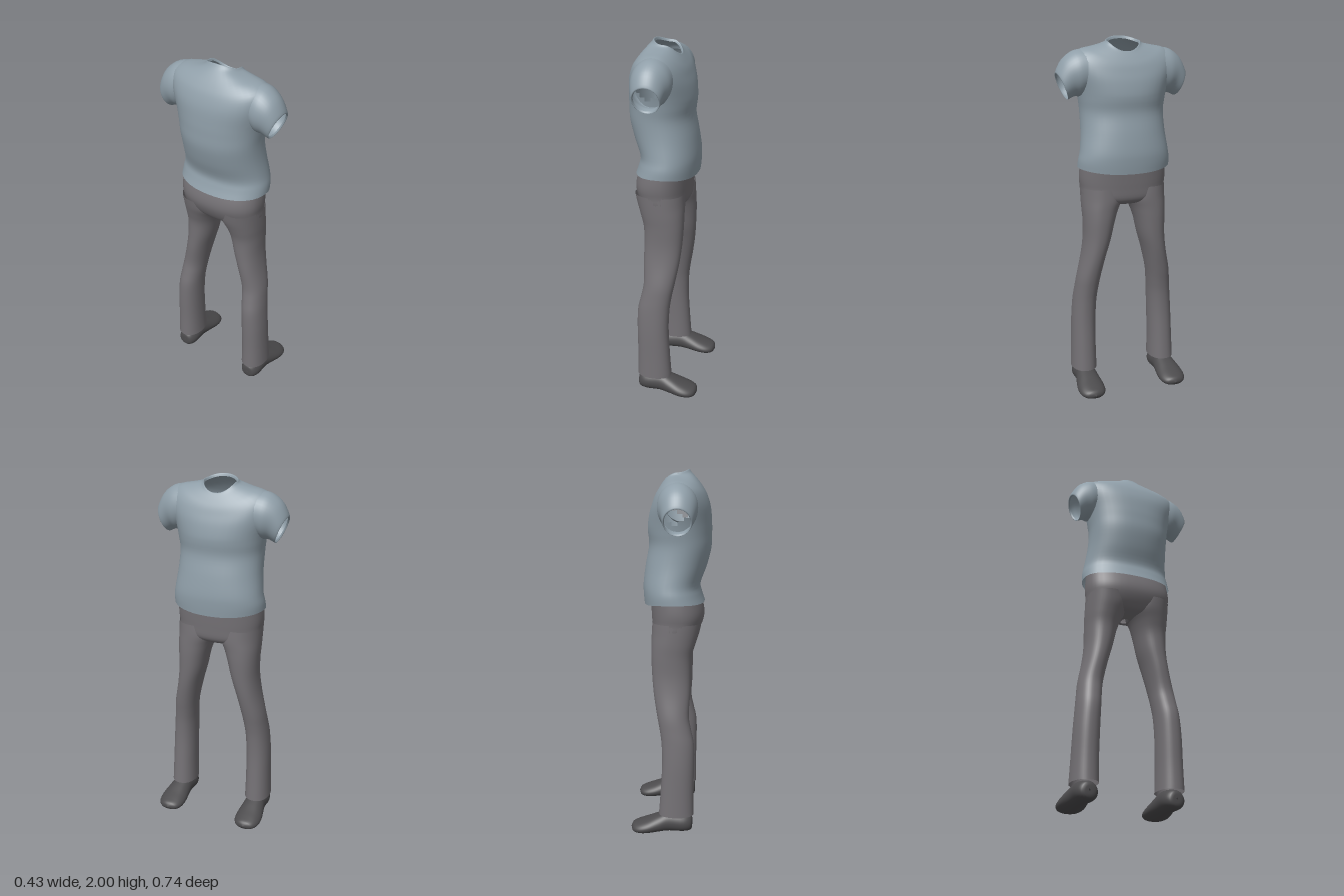
import * as THREE from 'three';

const shirtMat = new THREE.MeshStandardMaterial({ color: 0x8f9ea8, side: THREE.DoubleSide });
shirtMat.name = 'blue grey cloth';
const trouserMat = new THREE.MeshStandardMaterial({ color: 0x747175, side: THREE.DoubleSide });
trouserMat.name = 'warm grey cloth';
const shoeMat = new THREE.MeshStandardMaterial({ color: 0x4c4b4d, side: THREE.DoubleSide });
shoeMat.name = 'dark grey leather';

const SEG = 40;

// Smoothly resample rows of section numbers (Catmull-Rom, per column)
function refine(rows, steps = 4) {
  const out = [];
  const at = i => rows[Math.max(0, Math.min(rows.length - 1, i))];
  for (let i = 0; i < rows.length - 1; i++) {
    for (let s = 0; s < steps; s++) {
      const t = s / steps;
      out.push(rows[i].map((p1, k) => {
        const p0 = at(i - 1)[k], p2 = at(i + 1)[k], p3 = at(i + 2)[k];
        return 0.5 * (2 * p1 + (p2 - p0) * t + (2 * p0 - 5 * p1 + 4 * p2 - p3) * t * t
          + (3 * p1 - p0 - 3 * p2 + p3) * t * t * t);
      }));
    }
  }
  out.push(rows[rows.length - 1]);
  return out;
}

// Loft a closed cross-section through the rows; place(row, c, s) gives a point
function loft(rows, place, { n = 2, mirror = false, skip = null } = {}) {
  const pos = [], index = [];
  const bulge = v => Math.sign(v) * Math.pow(Math.abs(v), 2 / n);
  for (const row of rows) {
    for (let j = 0; j < SEG; j++) {
      const a = (j / SEG) * Math.PI * 2;
      const [x, y, z] = place(row, bulge(Math.cos(a)), bulge(Math.sin(a)));
      pos.push(x, y, mirror ? -z : z);
    }
  }
  for (let i = 0; i < rows.length - 1; i++) {
    for (let j = 0; j < SEG; j++) {
      const a = i * SEG + j, b = i * SEG + (j + 1) % SEG, c = a + SEG, d = b + SEG;
      if (skip && skip(pos[a * 3], pos[a * 3 + 1], pos[a * 3 + 2])) continue;
      if (mirror) index.push(a, b, c, b, d, c);
      else index.push(a, c, b, b, c, d);
    }
  }
  const g = new THREE.BufferGeometry();
  g.setAttribute('position', new THREE.Float32BufferAttribute(pos, 3));
  g.setIndex(index);
  g.computeVertexNormals();
  return g;
}

function part(name, geometry, material) {
  const m = new THREE.Mesh(geometry, material);
  m.name = name;
  return m;
}

// Upright section: back x, back y, front x, front y, half width, side y
const torsoPoint = ([xb, yb, xf, yf, hw, ys], c, s) => [
  (xb + xf) / 2 + c * (xf - xb) / 2,
  ys + ((c > 0 ? yf : yb) - ys) * c * c,
  s * hw,
];

// Sleeve section: top z, top y, bottom z, bottom y, back x, front x
const sleevePoint = ([tz, ty, bz, by, xb, xf], c, s) => [
  (xb + xf) / 2 + c * (xf - xb) / 2,
  (ty + by) / 2 + s * (by - ty) / 2,
  (tz + bz) / 2 + s * (bz - tz) / 2,
];

// Leg section: y, back x, front x, inner z, outer z
const legPoint = ([y, xb, xf, zi, zo], c, s) => [
  (xb + xf) / 2 + c * (xf - xb) / 2, y, (zi + zo) / 2 + s * (zo - zi) / 2,
];

// Shoe section: x, bottom y, top y, half width, centre z
const shoePoint = ([x, yb, yt, hw, zc], c, s) => [
  x, (yb + yt) / 2 + s * (yt - yb) / 2, zc + c * hw * (s > 0 ? 1 - 0.15 * s : 1),
];

const torso = refine([
  [-0.182, 1.29, 0.15, 1.28, 0.26, 1.302],
  [-0.165, 1.34, 0.155, 1.34, 0.258, 1.345],
  [-0.158, 1.39, 0.155, 1.40, 0.248, 1.40],
  [-0.19, 1.48, 0.142, 1.50, 0.236, 1.50],
  [-0.215, 1.58, 0.124, 1.60, 0.234, 1.60],
  [-0.218, 1.66, 0.130, 1.67, 0.242, 1.67],
  [-0.217, 1.72, 0.130, 1.71, 0.255, 1.74],
  [-0.210, 1.80, 0.120, 1.77, 0.282, 1.84],
  [-0.190, 1.865, 0.105, 1.82, 0.280, 1.905],
  [-0.165, 1.91, 0.093, 1.855, 0.235, 1.938],
  [-0.135, 1.95, 0.078, 1.885, 0.17, 1.952],
  [-0.106, 1.982, 0.062, 1.912, 0.108, 1.965],
  [-0.092, 2.0, 0.052, 1.925, 0.092, 1.978],
  [-0.085, 1.985, 0.046, 1.912, 0.085, 1.965],
]);

const sleeve = refine([
  [0.215, 1.94, 0.225, 1.70, -0.145, 0.065],
  [0.275, 1.928, 0.245, 1.688, -0.148, 0.062],
  [0.332, 1.885, 0.272, 1.688, -0.138, 0.045],
  [0.367, 1.82, 0.308, 1.672, -0.121, 0.03],
  [0.358, 1.812, 0.303, 1.682, -0.112, 0.022],
]);

const hips = refine([
  [-0.03, 1.088, 0.03, 1.088, 0.02, 1.088],
  [-0.11, 1.10, 0.075, 1.10, 0.10, 1.09],
  [-0.145, 1.125, 0.103, 1.13, 0.225, 1.12],
  [-0.176, 1.19, 0.109, 1.19, 0.241, 1.19],
  [-0.178, 1.25, 0.112, 1.25, 0.246, 1.25],
  [-0.155, 1.33, 0.115, 1.33, 0.24, 1.33],
]);

const leg = refine([
  [0.115, -0.135, 0.06, 0.168, 0.312],
  [0.25, -0.133, 0.05, 0.170, 0.307],
  [0.40, -0.136, 0.042, 0.168, 0.302],
  [0.52, -0.134, 0.045, 0.163, 0.293],
  [0.60, -0.118, 0.055, 0.155, 0.284],
  [0.68, -0.104, 0.07, 0.143, 0.273],
  [0.80, -0.11, 0.09, 0.116, 0.248],
  [0.90, -0.112, 0.10, 0.087, 0.236],
  [1.00, -0.116, 0.105, 0.063, 0.236],
  [1.07, -0.135, 0.105, 0.038, 0.239],
  [1.13, -0.155, 0.104, 0.006, 0.24],
  [1.19, -0.168, 0.10, 0.01, 0.24],
]);

const shoe = refine([
  [-0.128, 0.06, 0.07, 0.004, 0.24],
  [-0.122, 0.025, 0.105, 0.04, 0.24],
  [-0.08, 0.015, 0.122, 0.06, 0.24],
  [0.0, 0.016, 0.132, 0.06, 0.241],
  [0.06, 0.012, 0.112, 0.069, 0.244],
  [0.12, 0.006, 0.088, 0.077, 0.246],
  [0.17, 0.005, 0.07, 0.071, 0.246],
  [0.203, 0.012, 0.056, 0.047, 0.245],
  [0.215, 0.03, 0.036, 0.004, 0.244],
]);

export function createModel() {
  const model = new THREE.Group();
  model.name = 'clothedFigure';

  // Shirt body, left open where the sleeves join
  const inSleeve = (x, y, z) => Math.abs(z) > 0.18
    && ((x + 0.042) / 0.085) ** 2 + ((y - 1.8) / 0.085) ** 2 < 1;
  model.add(part('shirtBody', loft(torso, torsoPoint, { n: 2.2, skip: inSleeve }), shirtMat));

  // Trouser seat and waist
  model.add(part('trouserSeat', loft(hips, torsoPoint, { n: 2.4 }), trouserMat));

  // Paired sleeves, trouser legs and shoes
  for (const mirror of [false, true]) {
    const side = mirror ? 'Far' : 'Near';
    model.add(part('sleeve' + side, loft(sleeve, sleevePoint, { mirror }), shirtMat));
    model.add(part('trouserLeg' + side, loft(leg, legPoint, { n: 2.2, mirror }), trouserMat));
    model.add(part('shoe' + side, loft(shoe, shoePoint, { n: 2.3, mirror }), shoeMat));
  }
  return model;
}
